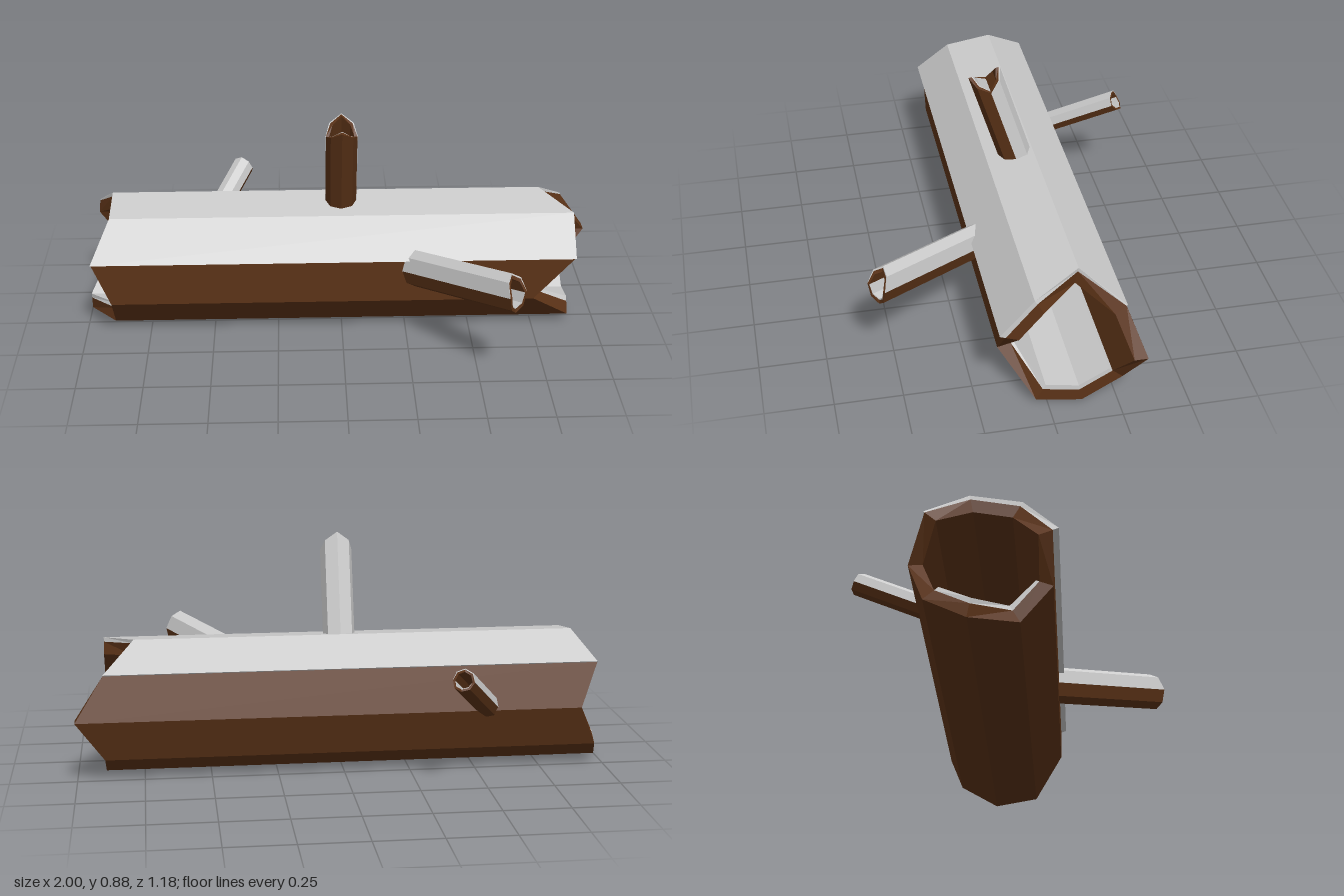
import * as THREE from 'three';

const wood = new THREE.MeshStandardMaterial({ color: 0x5c3317, flatShading: true });
const snow = new THREE.MeshStandardMaterial({ color: 0xcccccc, flatShading: true });

// Thick faceted shell along local x; each station has an angle (from z towards y),
// inner and outer radius, both end positions and a width factor for oval sections.
function shell(name, stations, material, closed) {
  const pos = [];
  const quad = (a, b, c, d) => [a, b, c, a, c, d].forEach((p) => pos.push(...p));
  const point = (s, x, r) => [x, r * Math.sin(s.a), r * Math.cos(s.a) * (s.w ?? 1)];
  const corners = stations.map((s) => ({
    o0: point(s, s.x0, s.rOut), o1: point(s, s.x1, s.rOut),
    i0: point(s, s.x0, s.rIn), i1: point(s, s.x1, s.rIn),
  }));
  const n = corners.length;
  for (let k = 0; k < (closed ? n : n - 1); k++) {
    const p = corners[k], q = corners[(k + 1) % n];
    quad(p.o0, p.o1, q.o1, q.o0);
    quad(p.i0, q.i0, q.i1, p.i1);
    quad(p.o1, p.i1, q.i1, q.o1);
    quad(p.o0, q.o0, q.i0, p.i0);
  }
  if (!closed) {
    const p = corners[0], q = corners[n - 1];
    quad(p.o0, p.i0, p.i1, p.o1);
    quad(q.o0, q.o1, q.i1, q.i0);
  }
  const geometry = new THREE.BufferGeometry();
  geometry.setAttribute('position', new THREE.Float32BufferAttribute(pos, 3));
  geometry.computeVertexNormals();
  const mesh = new THREE.Mesh(geometry, material);
  mesh.name = name;
  return mesh;
}

// Hollow nine-sided trunk with splintered ends
function makeTrunk() {
  const left = [-0.96, -0.89, -0.89, -0.96, -0.89, -0.96, -1, -0.89, -0.89];
  const right = [0.895, 0.895, 0.78, 0.895, 1, 0.895, 0.895, 0.895, 0.74];
  const station = (k, rIn, rOut) => ({
    a: THREE.MathUtils.degToRad(20 + 40 * k), rIn, rOut, x0: left[k], x1: right[k],
  });
  const trunk = new THREE.Group();
  trunk.name = 'trunk';
  trunk.add(
    shell('bark', left.map((_, k) => station(k, 0.2, 0.25)), wood, true),
    shell('topSnow', [0.272, 0.268, 0.265, 0.256].map((r, k) => station(k, 0.25, r)), snow, false),
    shell('innerSnow', [0.182, 0.18, 0.18, 0.188].map((r, k) => station(k + 5, r, 0.2)), snow, false),
  );
  trunk.position.set(0, 0.247, -0.08);
  return trunk;
}

// Hollow eight-sided branch stub; jag lifts the upper and lower tips over the sides
function makeBranch(name, from, to, radius, width, jag) {
  const start = new THREE.Vector3(...from);
  const axis = new THREE.Vector3(...to).sub(start);
  const length = axis.length();
  axis.normalize();
  const up = new THREE.Vector3(0, 1, 0).addScaledVector(axis, -axis.y).normalize();
  const side = new THREE.Vector3().crossVectors(axis, up);

  const station = (k, rIn, rOut) => {
    const a = (k * Math.PI) / 4;
    return { a, rIn: rIn * radius, rOut: rOut * radius, w: width, x0: 0,
      x1: length - (jag / 2) * Math.cos(2 * a) };
  };
  const ks = [0, 1, 2, 3, 4];
  const branch = new THREE.Group();
  branch.name = name;
  branch.add(
    shell(name + 'Bark', [...ks, 5, 6, 7].map((k) => station(k, 0.76, 0.96)), wood, true),
    shell(name + 'Snow', ks.map((k) => station(k, 0.96, k % 4 ? 1.05 : 0.98)), snow, false),
    shell(name + 'InnerSnow', ks.map((k) => station(k + 4, k % 4 ? 0.7 : 0.75, 0.76)), snow, false),
  );
  branch.applyMatrix4(new THREE.Matrix4().makeBasis(axis, up, side).setPosition(start));
  return branch;
}

export function createModel() {
  const model = new THREE.Group();
  model.name = 'hollowSnowyLog';
  model.add(
    makeTrunk(),
    makeBranch('topBranch', [0, 0.46, -0.065], [0, 0.832, 0.052], 0.062, 1, 0.06),
    makeBranch('frontBranch', [0.26, 0.288, 0.125], [0.61, 0.396, 0.555], 0.076, 0.58, -0.025),
    makeBranch('backBranch', [-0.545, 0.245, -0.285], [-0.388, 0.427, -0.563], 0.043, 1, 0.01),
  );
  return model;
}
